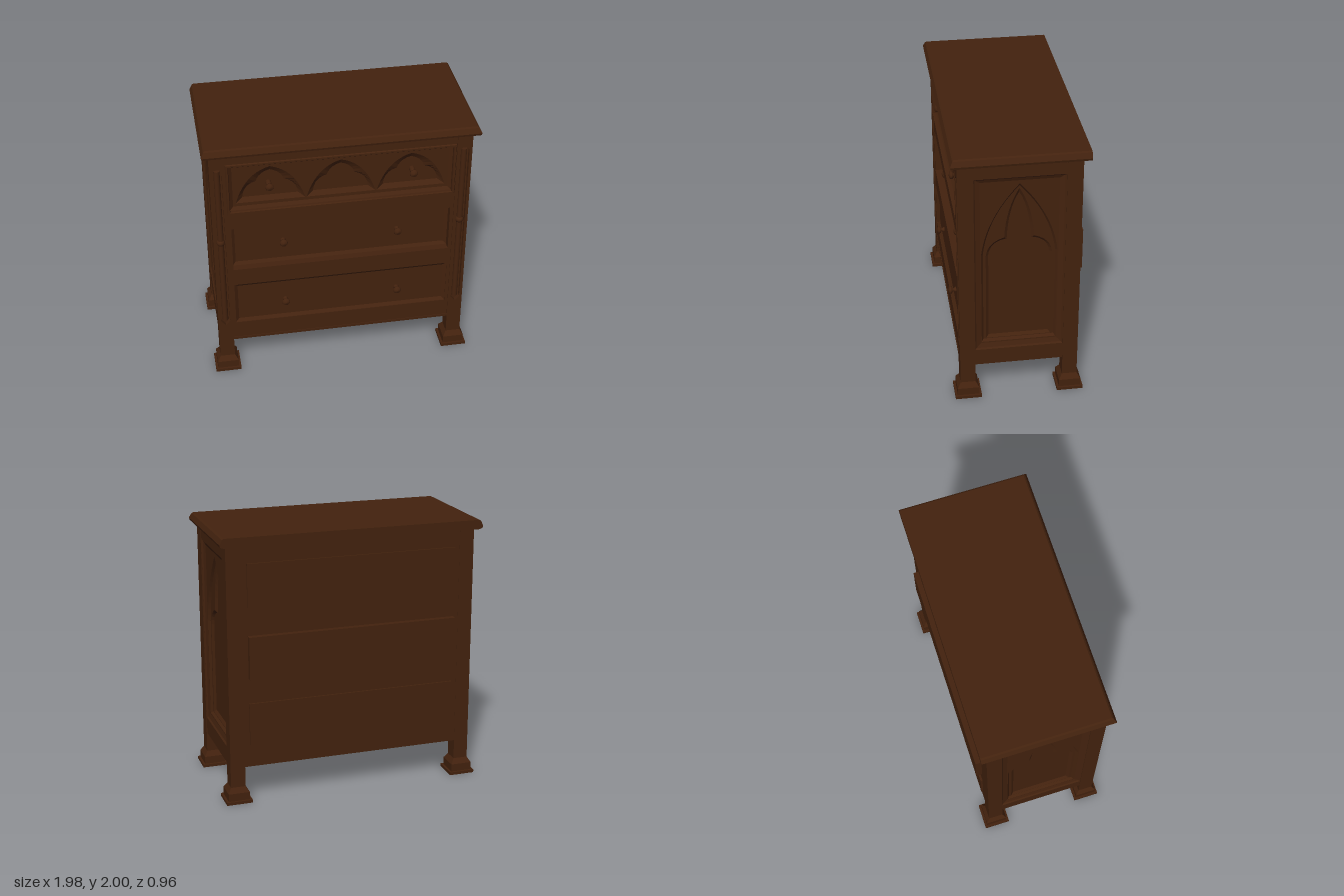
import * as THREE from 'three';

const wood = new THREE.MeshStandardMaterial({ color: 0x43220e });
wood.name = 'dark stained wood';

const rect = (x0, x1, y0, y1) =>
  [[x0, y0], [x1, y0], [x1, y1], [x0, y1]].map(([x, y]) => new THREE.Vector2(x, y));

function add(parent, name, geometry, x = 0, y = 0, z = 0) {
  const mesh = new THREE.Mesh(geometry, wood);
  mesh.name = name;
  mesh.position.set(x, y, z);
  parent.add(mesh);
  return mesh;
}

function box(parent, name, x0, x1, y0, y1, z0, z1) {
  return add(parent, name, new THREE.BoxGeometry(x1 - x0, y1 - y0, z1 - z0),
    (x0 + x1) / 2, (y0 + y1) / 2, (z0 + z1) / 2);
}

// Flat-faced skin between counter-clockwise loops: [[points, z], ...]
function loft(layers) {
  const pos = [];
  for (let k = 0; k + 1 < layers.length; k++) {
    const [a, za] = layers[k];
    const [b, zb] = layers[k + 1];
    for (let i = 0; i < a.length; i++) {
      const j = (i + 1) % a.length;
      pos.push(a[i].x, a[i].y, za, a[j].x, a[j].y, za, b[j].x, b[j].y, zb);
      pos.push(a[i].x, a[i].y, za, b[j].x, b[j].y, zb, b[i].x, b[i].y, zb);
    }
  }
  const g = new THREE.BufferGeometry();
  g.setAttribute('position', new THREE.Float32BufferAttribute(pos, 3));
  g.computeVertexNormals();
  return g;
}

// Flat face, or board when depth is given, with holes
function board(outline, holes = [], depth = 0) {
  const s = new THREE.Shape(outline);
  s.holes = holes.map((h) => new THREE.Path(h));
  return depth ? new THREE.ExtrudeGeometry(s, { depth, bevelEnabled: false }) : new THREE.ShapeGeometry(s);
}

// Symmetric outline from quadratic curves running up the right half
function mirrored(curves, base, cx = 0) {
  const half = [];
  for (const [a, c, b, n] of curves) {
    const pts = new THREE.QuadraticBezierCurve(...[a, c, b].map((p) => new THREE.Vector2(...p))).getPoints(n);
    half.push(...(half.length ? pts.slice(1) : pts));
  }
  if (base !== null) half.unshift(new THREE.Vector2(half[0].x, base));
  const left = half.slice(0, -1).reverse().map((p) => new THREE.Vector2(-p.x, p.y));
  return [...half, ...left].map((p) => new THREE.Vector2(p.x + cx, p.y));
}

// Tall pointed arch and its cusped inner arch, inset by d
const tallArch = (d) => mirrored([[[0.27 - d, 1.2], [0.235 - d, 1.5], [0, 1.76 - 1.6 * d], 12]], 0.455 + d);
const tallTrefoil = (d) => mirrored([
  [[0.235 - d, 1.18], [0.225 - d, 1.29], [0.105 - d, 1.325 - d], 6],
  [[0.105 - d, 1.325 - d], [0.095 - d, 1.55], [0, 1.715 - 2 * d], 8],
], 0.475 + d);

// Low arch and trefoil for the top drawer
const lowArch = (cx) => mirrored([[[0.25, 1.495], [0.18, 1.74], [0, 1.785], 10]], null, cx);
const lowTrefoil = (cx) => mirrored([
  [[0.2, 1.525], [0.19, 1.63], [0.1, 1.65], 5],
  [[0.1, 1.65], [0.08, 1.72], [0, 1.74], 5],
], null, cx);

function sidePanel(sign) {
  const g = new THREE.Group();
  g.name = sign > 0 ? 'leftSide' : 'rightSide';
  const opening = rect(-0.32, 0.32, 0.4, 1.82);
  const inner = rect(-0.275, 0.275, 0.445, 1.785);
  add(g, 'sideFrame', board(rect(-0.33, 0.33, 0.27, 1.93), [opening], 0.065), 0, 0, 0.87);
  add(g, 'sideBevel', loft([[opening, 0.935], [rect(-0.31, 0.31, 0.41, 1.81), 0.925], [inner, 0.915]]));
  add(g, 'sidePanel', board(inner, [tallArch(0)]), 0, 0, 0.915);
  add(g, 'archMoulding', loft([[tallArch(0), 0.915], [tallArch(0.015), 0.897]]));
  add(g, 'archPlate', board(tallArch(0.015), [tallTrefoil(0)]), 0, 0, 0.897);
  add(g, 'trefoilMoulding', loft([[tallTrefoil(0), 0.897], [tallTrefoil(0.02), 0.88]]));
  add(g, 'trefoilPanel', board(tallTrefoil(0.02)), 0, 0, 0.88);
  g.rotation.y = sign * Math.PI / 2;
  return g;
}

function knob(parent, x, y, z) {
  const profile = [[0.02, -0.04], [0.02, 0.008], [0.013, 0.015], [0.013, 0.026], [0.027, 0.034],
    [0.03, 0.044], [0.024, 0.054], [0, 0.06]].map((p) => new THREE.Vector2(...p));
  add(parent, 'knob', new THREE.LatheGeometry(profile, 16), x, y, z).rotation.x = Math.PI / 2;
}

export function createModel() {
  const model = new THREE.Group();
  model.name = 'chestOfDrawers';

  // Carcass and side panels
  box(model, 'carcass', -0.87, 0.87, 0.27, 1.93, -0.43, 0.33);
  model.add(sidePanel(1), sidePanel(-1));

  // Bevelled top, square at the back
  const slab = (dx, dz) => rect(-0.99 + dx, 0.99 - dx, -0.48 + dz, 0.48);
  const centre = Array(4).fill(new THREE.Vector2());
  add(model, 'top', loft([[centre, 1.93], [slab(0.03, 0.03), 1.93], [slab(0.005, 0.005), 1.938],
    [slab(0, 0), 1.955], [slab(0.018, 0.018), 1.992], [slab(0.03, 0.03), 2], [centre, 2]]))
    .rotation.x = -Math.PI / 2;

  // Posts, feet and front colonnettes
  const sq = (h) => rect(-h, h, -h, h);
  for (const sx of [-1, 1]) {
    for (const sz of [-1, 1]) {
      const post = new THREE.Group();
      post.name = sz > 0 ? 'frontPost' : 'backPost';
      post.position.set(sx * 0.885, 0, sz * 0.377);
      model.add(post);
      const front = sz > 0 ? 0.025 : 0.055;
      box(post, 'shaft', -0.055, 0.055, 0.1, 1.93, -0.055, front);
      add(post, 'foot', loft([[sq(0), 0], [sq(0.097), 0], [sq(0.097), 0.022], [sq(0.08), 0.022],
        [sq(0.08), 0.08], [sq(0.055), 0.12]])).rotation.x = -Math.PI / 2;
      if (sz > 0) {
        const slot = [[0, 0.42], [0.034, 0.46], [0.034, 1.8], [0, 1.84], [-0.034, 1.8], [-0.034, 0.46]]
          .map((p) => new THREE.Vector2(...p));
        add(post, 'slottedFace', board(rect(-0.055, 0.055, 0.1, 1.93), [slot], 0.03), 0, 0, 0.025);
        add(post, 'colonnette', new THREE.CylinderGeometry(0.022, 0.022, 1.34, 12), 0, 1.13, 0.03);
        add(post, 'colonnetteRing', new THREE.SphereGeometry(0.032, 12, 8), 0, 1.18, 0.028);
      }
    }
  }

  // Front frame with three drawer openings
  const drawers = [
    { y0: 0.43, y1: 0.79, z: 0.4, knobX: 0.425, knobY: 0.593, back: [0.44, 0.76, -0.445] },
    { y0: 0.93, y1: 1.3, z: 0.35, knobX: 0.425, knobY: 1.107, back: [0.95, 1.27, -0.475] },
    { y0: 1.45, y1: 1.83, z: 0.385, knobX: 0.52, knobY: 1.635, back: [1.48, 1.8, -0.445] },
  ];
  const opening = (d, o = 0) => rect(-0.805 - o, 0.805 + o, d.y0 - o, d.y1 + o);
  add(model, 'frontFrame', board(rect(-0.835, 0.835, 0.27, 1.93), drawers.map((d) => opening(d)), 0.095), 0, 0, 0.33);
  box(model, 'bottomRail', -0.83, 0.83, 0.27, 0.29, 0.42, 0.43);
  add(model, 'topDrawerMoulding', loft([[opening(drawers[2], 0.022), 0.425], [opening(drawers[2], 0.017), 0.434],
    [opening(drawers[2], 0.004), 0.434], [opening(drawers[2]), 0.425]]));

  // Drawers: bevelled edge, panel, knobs and the end showing at the back
  drawers.forEach((d, i) => {
    const g = new THREE.Group();
    g.name = ['bottomDrawer', 'middleDrawer', 'topDrawer'][i];
    model.add(g);
    const panel = rect(-0.78, 0.78, d.y0 + 0.02, d.y1 - 0.03);
    const arches = i === 2 ? [-0.51, 0, 0.51] : [];
    add(g, 'drawerBevel', loft([[opening(d), d.z + 0.02], [panel, d.z]]));
    add(g, 'drawerPanel', board(panel, arches.map(lowArch)), 0, 0, d.z);
    for (const cx of arches) {
      add(g, 'archSlope', loft([[lowArch(cx), d.z], [lowTrefoil(cx), d.z - 0.03]]));
      add(g, 'archRecess', board(lowTrefoil(cx)), 0, 0, d.z - 0.03);
    }
    for (const s of [-1, 1]) knob(g, s * d.knobX, d.knobY, d.z);
    box(g, 'drawerBack', -0.79, 0.79, d.back[0], d.back[1], d.back[2], -0.42);
  });

  return model;
}
